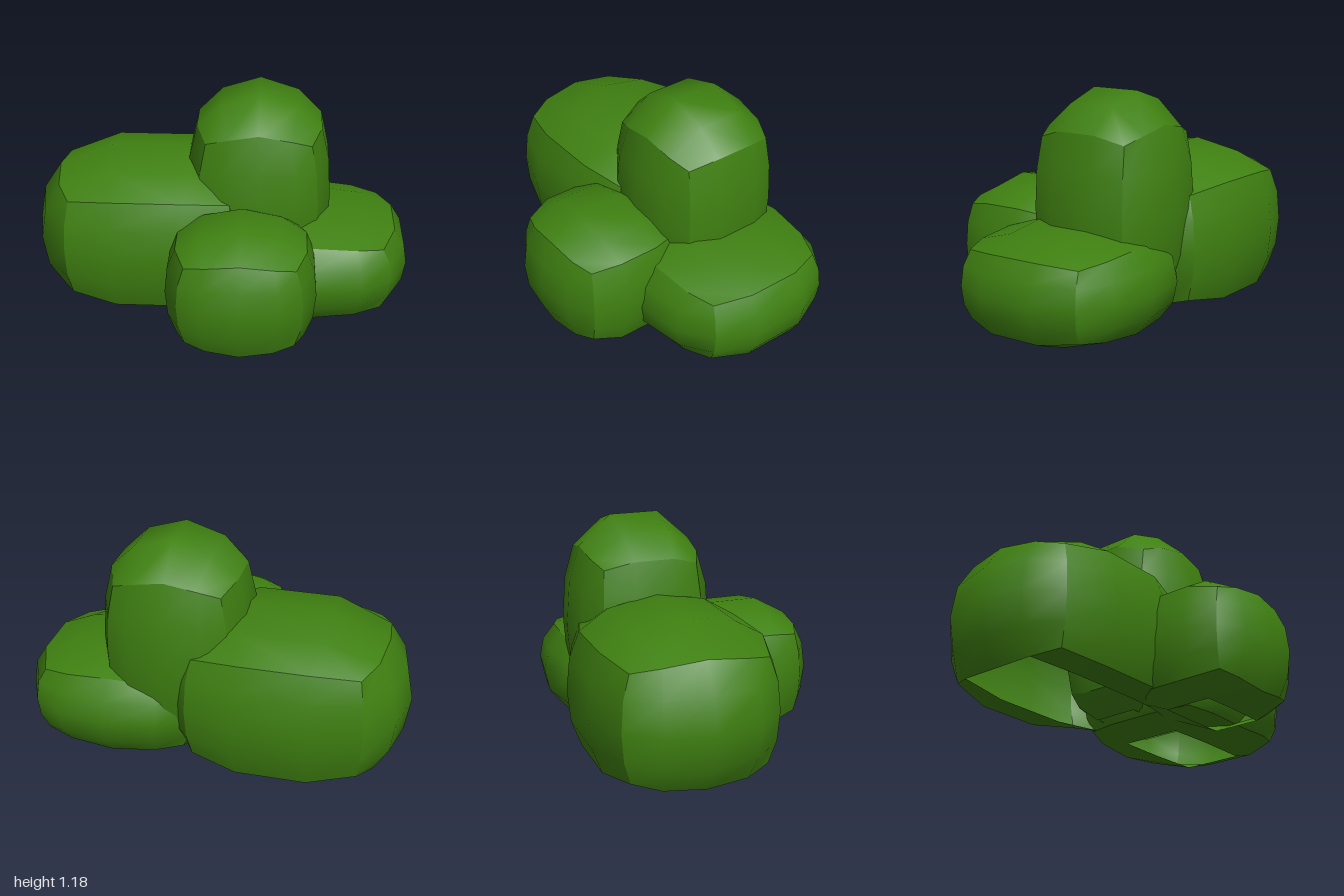
import * as THREE from 'three';

const leafMaterial = new THREE.MeshStandardMaterial({ color: 0x3f8011, side: THREE.DoubleSide });

const bend = (t, k) => Math.sign(t) * Math.abs(t) ** k;

// One puffy clump: a gridded box inflated towards a sphere, long axis on z,
// floor flattened at y = floor and opened in the middle.
function clump(name, { center, width, height, length, floor, turned = false, openEnds = false }) {
  const nx = 4, nz = 3;
  const geo = new THREE.BoxGeometry(2, 2, 2, nx, 4, nz);
  const pos = geo.attributes.position;
  for (let i = 0; i < pos.count; i++) {
    const x = pos.getX(i), y = pos.getY(i), z = pos.getZ(i);
    const xx = x * x, yy = y * y, zz = z * z;
    const px = bend(x, 0.7) * (1.02 - 0.2 * zz - 0.145 * yy + 0.045 * zz * yy);
    const py = bend(y, 0.84) * (1.035 - 0.3 * zz - 0.34 * Math.abs(x) ** 1.6 + 0.215 * zz * xx);
    const pz = bend(z, 0.77) * (1 - 0.3 * xx - 0.2 * yy + 0.16 * xx * yy);
    pos.setXYZ(i, px * width, Math.max(py * height, floor - center[1]), pz * length);
  }

  // Leave the middle of the bottom side open
  const bottom = geo.groups[3];
  const index = Array.from(geo.index.array).filter((_, i) => {
    const quad = Math.floor((i - bottom.start) / 6);
    if (quad < 0 || quad >= nx * nz) return true;
    const column = quad % nx, row = Math.floor(quad / nx);
    const inner = column > 0 && column < nx - 1;
    return !(inner && (openEnds || row === 1));
  });
  geo.clearGroups();
  geo.setIndex(index);
  geo.computeVertexNormals(); // box sides stay separate, so their edges stay creased

  const mesh = new THREE.Mesh(geo, leafMaterial);
  mesh.name = name;
  mesh.position.set(...center);
  if (turned) mesh.rotation.y = Math.PI / 2;
  return mesh;
}

export function createModel() {
  const bush = new THREE.Group();
  bush.name = 'bush';
  bush.add(
    clump('tallClump', {
      center: [0.2, 0.6, -0.215], width: 0.38, height: 0.58, length: 0.375, floor: 0.09,
    }),
    clump('wideClump', {
      center: [-0.365, 0.385, -0.215], width: 0.485, height: 0.445, length: 0.635, floor: 0.07,
      turned: true, openEnds: true,
    }),
    clump('lowClump', {
      center: [0.49, 0.265, -0.155], width: 0.51, height: 0.285, length: 0.495, floor: 0.015,
    }),
    clump('frontClump', {
      center: [0.125, 0.315, 0.32], width: 0.385, height: 0.355, length: 0.375, floor: 0,
    }),
  );
  return bush;
}
